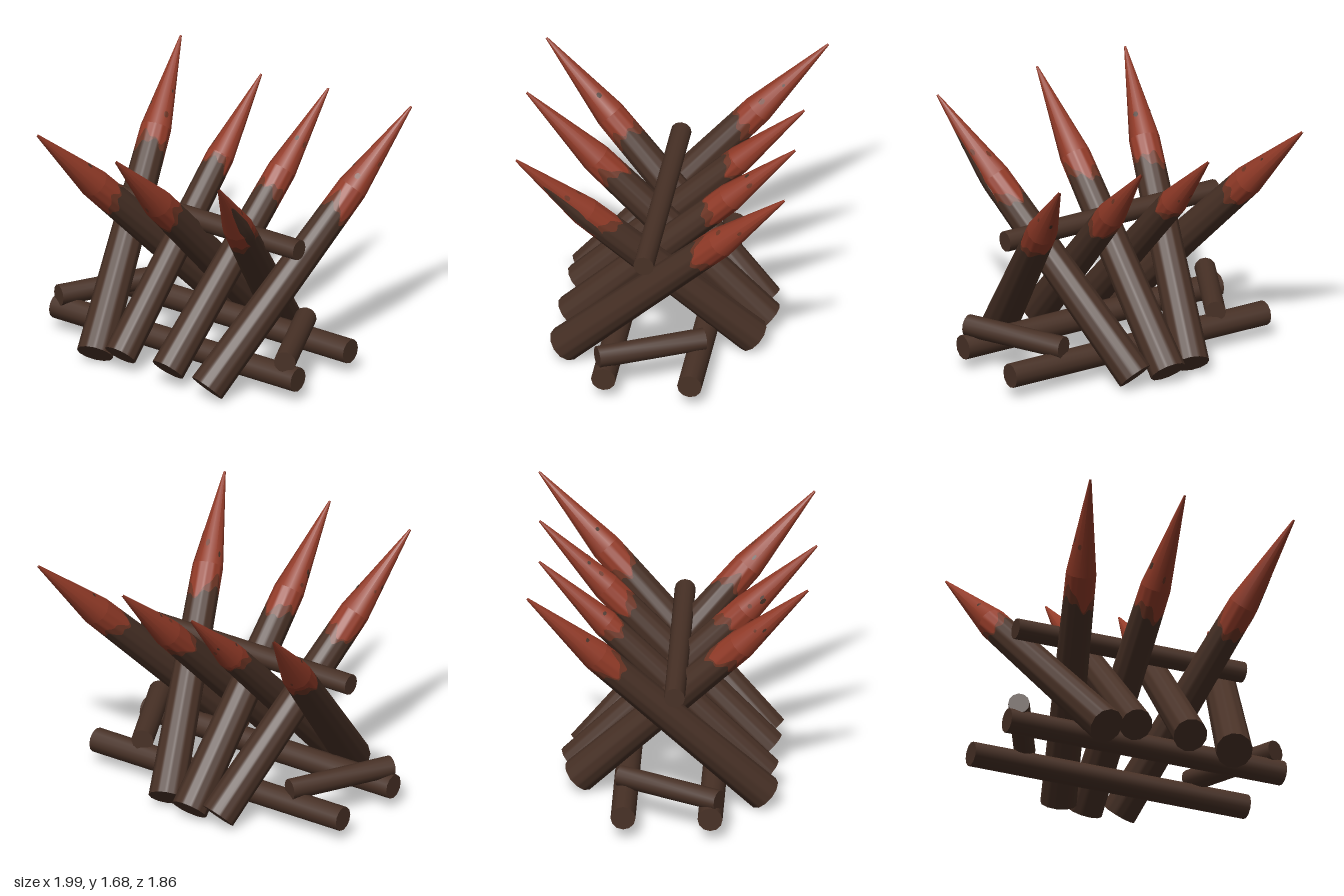
import * as THREE from 'three';
import { toCreasedNormals } from 'three/addons/utils/BufferGeometryUtils.js';

const SIDES = 12, SHOULDER = 0.71;
const UP = new THREE.Vector3(0, 1, 0);

function mat(name, color) {
  const m = new THREE.MeshStandardMaterial({ color });
  m.name = name;
  return m;
}

// Radius of a sharpened stake at fraction t of its length
function stakeRadius(t, r) {
  if (t <= SHOULDER) return r * (1 - 0.16 * t / SHOULDER);
  return THREE.MathUtils.lerp(r * 0.84, 0.007, (t - SHOULDER) / (1 - SHOULDER));
}

// Patch of stake skin between two height curves lo(angle) and hi(angle)
function skin(stake, lo, hi, a0, a1, cols, rows, lift = 0) {
  const pos = [], idx = [], step = Math.PI * 2 / SIDES;
  for (let j = 0; j <= rows; j++) {
    for (let i = 0; i <= cols; i++) {
      const a = a0 + (a1 - a0) * i / cols;
      const t = THREE.MathUtils.lerp(lo(a), hi(a), j / rows);
      const off = ((a % step) + step) % step - step / 2;
      const r = stakeRadius(t, stake.r) * Math.cos(step / 2) / Math.cos(off) + lift;
      pos.push(Math.sin(a) * r, t * stake.length, Math.cos(a) * r);
    }
  }
  const w = cols + 1;
  for (let j = 0; j < rows; j++) {
    for (let i = 0; i < cols; i++) {
      const p = j * w + i;
      idx.push(p, p + 1, p + w, p + 1, p + w + 1, p + w);
    }
  }
  const g = new THREE.BufferGeometry();
  g.setAttribute('position', new THREE.Float32BufferAttribute(pos, 3));
  g.setIndex(idx);
  return toCreasedNormals(g, 0.65);
}

// Seeded random numbers
function seeded(seed) {
  return () => {
    seed = (seed * 16807) % 2147483647;
    return seed / 2147483647;
  };
}

export function createModel() {
  const model = new THREE.Group();
  model.name = 'spikedBarricade';
  const wood = mat('darkWood', 0x483126);
  const red = mat('redTip', 0x933b28);
  const dried = mat('driedRed', 0x6f3625);

  const add = (parent, name, geometry, material) => {
    const m = new THREE.Mesh(geometry, material);
    m.name = name;
    parent.add(m);
    return m;
  };

  // Plain round log between two points
  function log(name, a, b, r) {
    const p = new THREE.Vector3(...a), q = new THREE.Vector3(...b);
    const d = q.clone().sub(p);
    const g = toCreasedNormals(new THREE.CylinderGeometry(r, r, d.length(), SIDES), 0.65);
    const m = add(model, name, g, wood);
    m.position.copy(p).add(q).multiplyScalar(0.5);
    m.quaternion.setFromUnitVectors(UP, d.normalize());
  }

  // Sharpened stake with an uneven red stained tip
  function stake(name, base, tip, r, stain, seed) {
    const rnd = seeded(seed * 7919 + 13);
    const p = new THREE.Vector3(...base);
    const d = new THREE.Vector3(...tip).sub(p);
    const s = { r, length: d.length() };
    const g = new THREE.Group();
    g.name = name;
    g.position.copy(p);
    g.quaternion.setFromUnitVectors(UP, d.normalize());
    model.add(g);

    const p1 = rnd() * 6, p2 = rnd() * 6;
    const edge = a => stain + 0.018 * Math.sin(2 * a + p1) + 0.008 * Math.sin(7 * a + p2);
    const edge2 = a => Math.min(SHOULDER - 0.005,
      edge(a) + 0.022 + 0.018 * Math.sin(3 * a + p2));
    const full = Math.PI * 2, n = SIDES * 4;
    add(g, 'shaft', skin(s, () => 0, edge, 0, full, n, 1), wood);
    add(g, 'stainEdge', skin(s, edge, edge2, 0, full, n, 1), dried);
    add(g, 'stainedShoulder', skin(s, edge2, () => SHOULDER, 0, full, n, 1), red);
    add(g, 'point', skin(s, () => SHOULDER, () => 1, 0, full, SIDES, 1), red);
    const cap = new THREE.CircleGeometry(r, SIDES).rotateX(Math.PI / 2);
    add(g, 'buttEnd', cap.rotateY(Math.PI / SIDES * 2), wood);

    // Bare patches showing through the stain
    const patch = (t, h, a, w, material) => {
      const half = x => h * Math.sqrt(Math.max(0, 1 - ((x - a) / w) ** 2));
      add(g, 'barePatch', skin(s, x => t - half(x), x => t + half(x), a - w, a + w, 8, 6, 0.002), material);
    };
    for (let i = 0; i < 4; i++) {
      patch(0.73 + rnd() * 0.1, 0.005 + rnd() * 0.006, rnd() * full, 0.1 + rnd() * 0.12, i % 2 ? dried : wood);
    }
    return patch;
  }

  // Stakes leaning back
  const back = [
    [[-0.43, 0.098, 0.595], [-0.88, 1.69, -0.93], 0.12, 0.64],
    [[-0.22, 0.145, 0.6], [-0.19, 1.62, -0.88], 0.109, 0.67],
    [[0.165, 0.145, 0.6], [0.34, 1.655, -0.9], 0.113, 0.62],
    [[0.48, 0.098, 0.595], [0.99, 1.69, -0.93], 0.12, 0.62],
  ];
  back.forEach(([b, t, r, e], i) => stake('backLeaningStake' + (i + 1), b, t, r, e, i + 1));

  // Stakes leaning forward
  const front = [
    [[-0.22, 0.1, -0.62], [-0.68, 1.69, 0.89], 0.119, 0.62],
    [[-0.02, 0.1, -0.655], [-0.02, 1.69, 0.92], 0.12, 0.63],
    [[0.2, 0.1, -0.6], [0.78, 1.69, 0.87], 0.119, 0.62],
  ];
  front.forEach(([b, t, r, e], i) => {
    const patch = stake('frontLeaningStake' + (i + 1), b, t, r, e, i + 11);
    if (i === 2) patch(0.75, 0.13, 1.45, 0.5, wood);
  });

  // Long base rails and the upper crossbar
  log('frontBaseRail', [-0.99, 0.17, 0.265], [0.97, 0.17, 0.265], 0.081);
  log('backBaseRail', [-0.99, 0.17, -0.3], [0.97, 0.17, -0.3], 0.081);
  log('upperCrossbar', [-0.82, 0.96, 0.027], [0.8, 0.96, 0.027], 0.068);

  // Short slanted logs resting on the rails
  log('rightBrace', [-0.93, 0.28, 0.32], [-0.59, 0.28, -0.335], 0.07);
  log('leftBrace', [0.9, 0.293, 0.315], [0.58, 0.293, -0.335], 0.073);

  return model;
}
